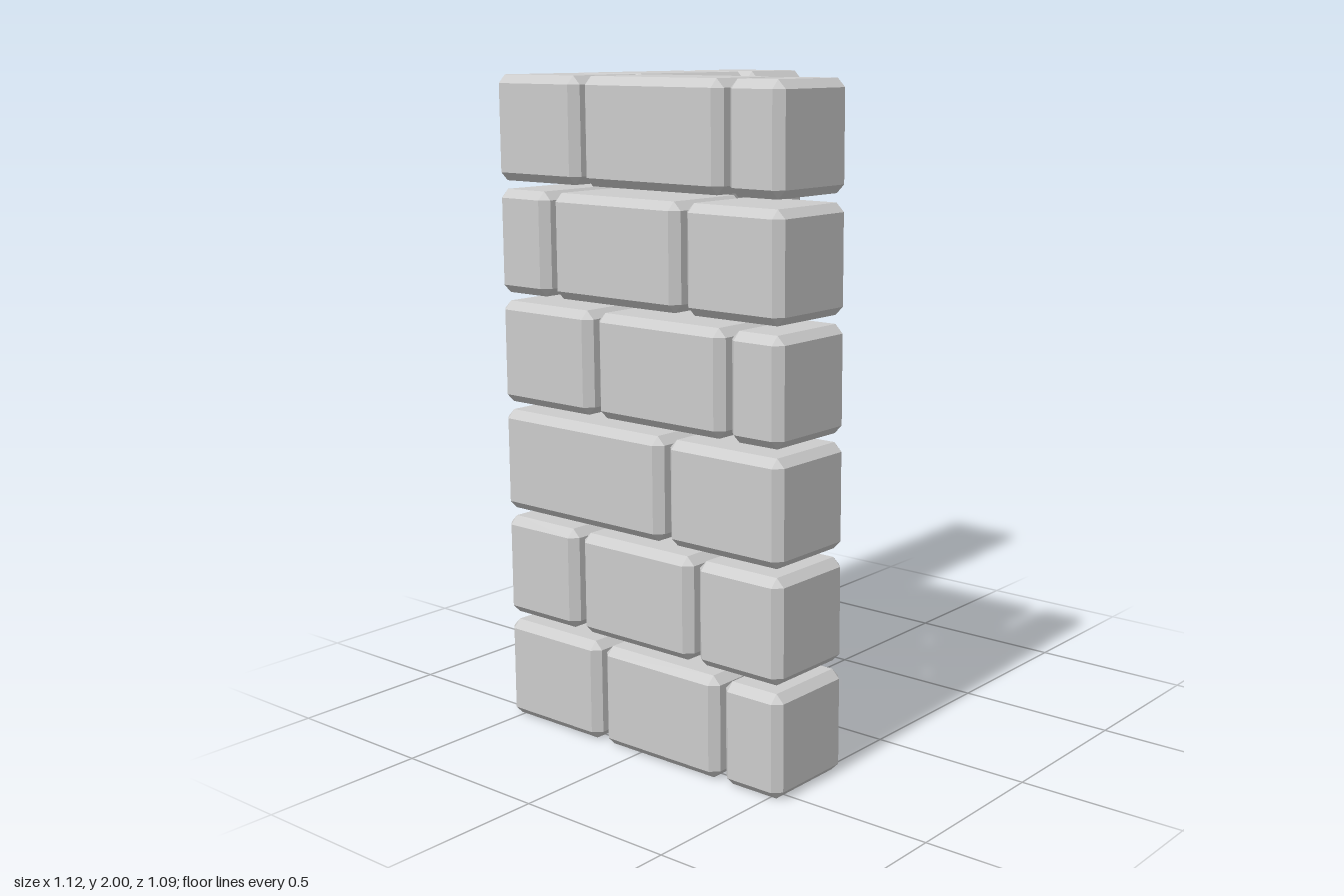
import * as THREE from 'three';
import { ConvexGeometry } from 'three/addons/geometries/ConvexGeometry.js';

const BEVEL = 0.025, BRICK_HEIGHT = 0.312, PITCH = (2 - BRICK_HEIGHT) / 5;
const X_MIN = -0.56, X_MAX = 0.56, Z_MIN = -0.547, Z_MAX = 0.543;
const SIDE_INNER = -0.25, BACK_INNER = -0.234;

// Per course, bottom to top: the corner brick's x and z ends,
// then [start, end] spans along the back wall (x) and the side wall (z)
const COURSES = [
  { corner: [-0.25, -0.157], back: [[-0.243, 0.218], [0.24, X_MAX]], side: [[-0.135, 0.312], [0.334, Z_MAX]] },
  { corner: [-0.126, -0.243], back: [[-0.12, 0.302], [0.322, X_MAX]], side: [[-0.22, 0.216], [0.238, Z_MAX]] },
  { corner: [-0.195, 0.106], back: [[-0.187, X_MAX]], side: [[0.13, Z_MAX]] },
  { corner: [-0.159, -0.167], back: [[-0.152, 0.226], [0.247, X_MAX]], side: [[-0.143, 0.337], [0.36, Z_MAX]] },
  { corner: [-0.08, -0.335], back: [[-0.073, 0.4], [0.415, X_MAX]], side: [[-0.312, 0.176], [0.2, Z_MAX]] },
  { corner: [-0.25, -0.205], back: [[-0.243, 0.263], [0.285, X_MAX]], side: [[-0.184, 0.333], [0.356, Z_MAX]] },
];

// Box with flat chamfers on every edge: three points at each corner
function chamferedBox(w, h, d) {
  const half = [w / 2, h / 2, d / 2], points = [];
  for (const sx of [-1, 1]) for (const sy of [-1, 1]) for (const sz of [-1, 1]) {
    for (let axis = 0; axis < 3; axis++) {
      const c = half.map((v, i) => (i === axis ? v : v - BEVEL));
      points.push(new THREE.Vector3(sx * c[0], sy * c[1], sz * c[2]));
    }
  }
  return new ConvexGeometry(points);
}

export function createModel() {
  const model = new THREE.Group();
  model.name = 'brickCornerWall';
  const material = new THREE.MeshStandardMaterial({ color: 0xcccccc, flatShading: true });

  COURSES.forEach(({ corner, back, side }, row) => {
    const course = new THREE.Group();
    course.name = `course${row + 1}`;
    course.position.y = row * PITCH + BRICK_HEIGHT / 2;

    const addBrick = (name, x0, x1, z0, z1) => {
      const brick = new THREE.Mesh(chamferedBox(x1 - x0, BRICK_HEIGHT, z1 - z0), material);
      brick.name = name;
      brick.position.set((x0 + x1) / 2, 0, (z0 + z1) / 2);
      course.add(brick);
    };

    // Corner brick, then the two wings
    addBrick('cornerBrick', X_MIN, corner[0], Z_MIN + 0.008, corner[1]);
    for (const [a, b] of back) addBrick('backWallBrick', a, b, Z_MIN, BACK_INNER);
    for (const [a, b] of side) addBrick('sideWallBrick', X_MIN, SIDE_INNER, a, b);
    model.add(course);
  });

  return model;
}
